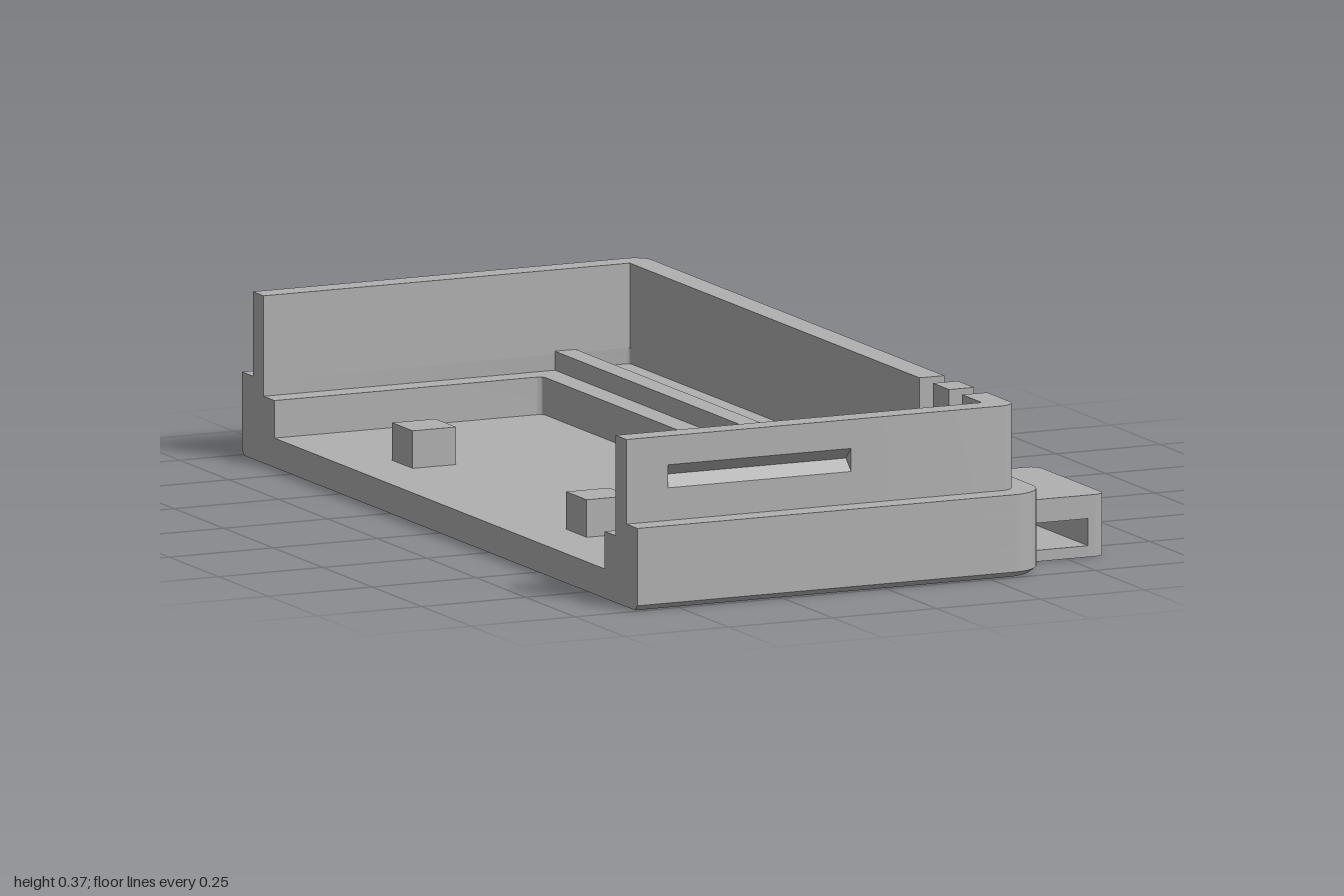
import * as THREE from 'three';
import { toCreasedNormals } from 'three/addons/utils/BufferGeometryUtils.js';

const OPEN = -0.6; // x of the open, cut side

export function createModel() {
  const model = new THREE.Group();
  model.name = 'enclosureHalf';
  const grey = new THREE.MeshStandardMaterial({ color: 0xb0b0b0 });
  grey.name = 'grey plastic';

  function add(name, geometry, parent = model) {
    const mesh = new THREE.Mesh(geometry, grey);
    mesh.name = name;
    parent.add(mesh);
    return mesh;
  }

  // Box given by its limits
  function box(name, x0, x1, y0, y1, z0, z1) {
    const mesh = add(name, new THREE.BoxGeometry(x1 - x0, y1 - y0, z1 - z0));
    mesh.position.set((x0 + x1) / 2, (y0 + y1) / 2, (z0 + z1) / 2);
    return mesh;
  }

  // Plan shape extruded upwards from y0 to y1
  function slab(shape, y0, y1) {
    const g = new THREE.ExtrudeGeometry(shape, { depth: y1 - y0, bevelEnabled: false, curveSegments: 10 });
    g.rotateX(-Math.PI / 2).translate(0, y0, 0);
    return toCreasedNormals(g, 0.5);
  }

  // Outline running from the open side around two rounded corners
  function outline(x, z, r) {
    const s = new THREE.Shape();
    s.moveTo(OPEN, -z);
    s.lineTo(x - r, -z);
    s.absarc(x - r, -z + r, r, -Math.PI / 2, 0, false);
    s.lineTo(x, z - r);
    s.absarc(x - r, z - r, r, 0, Math.PI / 2, false);
    s.lineTo(OPEN, z);
    return s;
  }

  // C-shaped rim between an outer and an inner outline
  function rim(outer, inner) {
    const pts = outline(...outer).getPoints(10);
    return new THREE.Shape(pts.concat(outline(...inner).getPoints(6).reverse()));
  }

  // Base with a small chamfer around the bottom edge
  const base = [0.39, 1, 0.085];
  const chamfer = slab(outline(...base), 0, 0.012);
  const p = chamfer.attributes.position;
  for (let i = 0; i < p.count; i++) {
    if (p.getY(i) < 0.006) {
      p.setX(i, OPEN + (p.getX(i) - OPEN) * 0.988);
      p.setZ(i, p.getZ(i) * 0.988);
    }
  }
  chamfer.deleteAttribute('normal');
  add('bottomChamfer', toCreasedNormals(chamfer, 0.5));
  add('floor', slab(outline(...base), 0.012, 0.065));
  add('innerLedge', slab(rim(base, [0.045, 0.835, 0.015]), 0.065, 0.148));
  add('lowerWall', slab(rim(base, [0.28, 0.89, 0.008]), 0.148, 0.183));

  // Rail standing on the wide side of the ledge
  box('ledgeRail', 0.1, 0.15, 0.14, 0.19, -0.89, 0.89);

  // Upper wall: an L-shaped corner, a grooved part and an end part at each end
  const Y0 = 0.183, Y1 = 0.37, X0 = 0.28, X1 = 0.34, Z0 = 0.89, Z1 = 0.945, R = 0.04;
  const grooveStart = -0.5, grooveEnd = -0.06;
  for (const [side, cut, label] of [[1, 0.79, 'front'], [-1, -0.575, 'back']]) {
    const corner = new THREE.Shape();
    corner.moveTo(grooveEnd, Z0);
    corner.lineTo(X0, Z0);
    corner.lineTo(X0, cut);
    corner.lineTo(X1, cut);
    corner.lineTo(X1, Z1 - R);
    corner.absarc(X1 - R, Z1 - R, R, 0, Math.PI / 2, false);
    corner.lineTo(grooveEnd, Z1);
    const plan = new THREE.Shape(corner.getPoints(10).map(v => new THREE.Vector2(v.x, -side * v.y)));
    add(label + 'UpperCorner', slab(plan, Y0, Y1));

    // V-shaped snap groove on the outside
    const profile = new THREE.Shape([
      [Z0, Y0], [Z1, Y0], [Z1, 0.255], [Z1 - 0.027, 0.28], [Z1, 0.306], [Z1, Y1], [Z0, Y1],
    ].map(([z, y]) => new THREE.Vector2(side * z, y)));
    const grooved = new THREE.ExtrudeGeometry(profile, { depth: grooveEnd - grooveStart, bevelEnabled: false });
    grooved.rotateY(-Math.PI / 2).translate(grooveEnd, 0, 0);
    add(label + 'GroovedWall', grooved);

    const z = [side * Z0, side * Z1].sort((a, b) => a - b);
    box(label + 'WallEnd', OPEN, grooveStart, Y0, Y1, z[0], z[1]);
  }

  // Two notches in the side wall with a tooth between them
  box('notchSill', X0, X1, Y0, 0.265, 0.575, 0.79);
  box('notchTooth', X0, X1, 0.265, Y1, 0.643, 0.725);

  // Square support posts
  for (const [x, z] of [[-0.427, -0.443], [-0.427, 0.437], [-0.13, 0.32]]) {
    box('supportPost', x - 0.052, x + 0.052, 0.06, 0.148, z - 0.052, z + 0.052);
  }

  // Strap loop on the side, open from front to back
  const loop = new THREE.Group();
  loop.name = 'strapLoop';
  model.add(loop);
  const lx0 = 0.375, lx1 = 0.595, lz0 = 0.505, lz1 = 0.855, lr = 0.025;
  const hx0 = 0.417, hx1 = 0.552, hy0 = 0.025, hy1 = 0.085;
  const plate = new THREE.Shape();
  plate.moveTo(lx0, -lz1);
  plate.lineTo(lx1 - lr, -lz1);
  plate.absarc(lx1 - lr, -lz1 + lr, lr, -Math.PI / 2, 0, false);
  plate.lineTo(lx1, -lz0 - lr);
  plate.absarc(lx1 - lr, -lz0 - lr, lr, 0, Math.PI / 2, false);
  plate.lineTo(lx0, -lz0);
  add('loopBottom', slab(plate, 0, hy0), loop);
  add('loopTop', slab(plate, hy1, 0.137), loop);
  const outer = new THREE.Shape();
  outer.moveTo(hx1, -lz1);
  outer.lineTo(lx1 - lr, -lz1);
  outer.absarc(lx1 - lr, -lz1 + lr, lr, -Math.PI / 2, 0, false);
  outer.lineTo(lx1, -lz0 - lr);
  outer.absarc(lx1 - lr, -lz0 - lr, lr, 0, Math.PI / 2, false);
  outer.lineTo(hx1, -lz0);
  add('loopOuterSide', slab(outer, hy0, hy1), loop);
  const inner = add('loopInnerSide', new THREE.BoxGeometry(hx0 - lx0, hy1 - hy0, lz1 - lz0), loop);
  inner.position.set((lx0 + hx0) / 2, (hy0 + hy1) / 2, (lz0 + lz1) / 2);

  return model;
}
